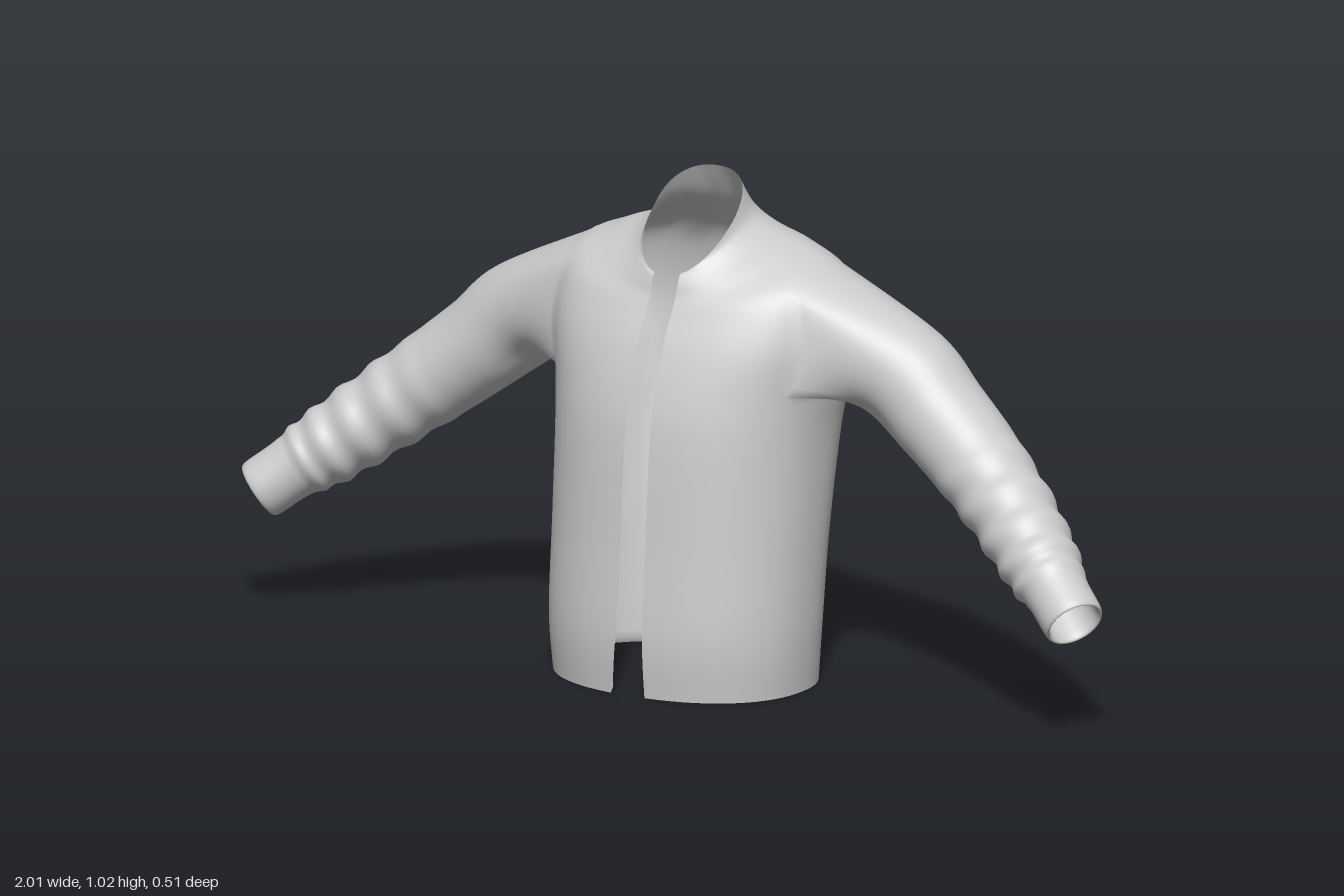
import * as THREE from 'three';

const U = 64, V = 60;            // body columns and rows
const HOLE = { v0: 25, v1: 37, half: 6 }; // armhole block in the body grid

// Body rings: [y front, y side, y back, half width, z front, z back, z middle]
const RINGS = [
  [0.00, 0.00, 0.00, 0.275, 0.245, -0.178, 0.03],
  [0.12, 0.12, 0.12, 0.283, 0.254, -0.185, 0.03],
  [0.30, 0.30, 0.30, 0.286, 0.242, -0.205, 0.01],
  [0.50, 0.50, 0.50, 0.293, 0.228, -0.240, -0.02],
  [0.60, 0.60, 0.60, 0.305, 0.212, -0.250, -0.04],
  [0.70, 0.73, 0.70, 0.328, 0.180, -0.250, -0.06],
  [0.77, 0.84, 0.79, 0.300, 0.145, -0.235, -0.06],
  [0.80, 0.885, 0.85, 0.210, 0.130, -0.215, -0.06],
  [0.82, 0.905, 0.90, 0.145, 0.125, -0.175, -0.04],
  [0.835, 0.925, 0.95, 0.108, 0.120, -0.132, -0.02],
  [0.84, 0.945, 1.02, 0.095, 0.115, -0.090, 0.00],
];

// Sleeve sections: [x, y, z, radius, turn towards the front]; the last two fold into the cuff
const SECTIONS = [
  [0.44, 0.662, -0.075, 0.108, 0.0],
  [0.54, 0.582, -0.068, 0.100, 0.1],
  [0.63, 0.512, -0.050, 0.095, 0.25],
  [0.72, 0.443, -0.020, 0.089, 0.4],
  [0.80, 0.380, 0.018, 0.083, 0.45],
  [0.86, 0.333, 0.050, 0.076, 0.45],
  [0.905, 0.300, 0.074, 0.064, 0.45],
  [0.957, 0.258, 0.100, 0.062, 0.4],
  [0.955, 0.260, 0.099, 0.052, 0.4],
  [0.90, 0.304, 0.071, 0.052, 0.45],
];

// Catmull-Rom through rows of numbers
function sample(rows, t) {
  const last = rows.length - 1, i = Math.min(Math.floor(t), last - 1), f = t - i;
  const [a, b, c, d] = [i - 1, i, i + 1, i + 2].map(k => rows[Math.max(0, Math.min(last, k))]);
  return b.map((_, k) => 0.5 * (2 * b[k] + (c[k] - a[k]) * f
    + (2 * a[k] - 5 * b[k] + 4 * c[k] - d[k]) * f * f
    + (3 * b[k] - a[k] - 3 * c[k] + d[k]) * f * f * f));
}

const power = (x, e) => Math.sign(x) * Math.abs(x) ** e;

// Point of the body: t runs up the rings, u from the left front edge round the back
function bodyPoint(t, u, inset = 0) {
  const [yF, yS, yB, w, zF, zB, zM] = sample(RINGS, t);
  const e = 0.9;
  const gapRight = 0.022 + 0.022 * Math.max(0, 1 - yS / 0.2);
  const start = Math.asin((0.036 / w) ** (1 / e));
  const end = 2 * Math.PI - Math.asin((gapRight / w) ** (1 / e));
  const a = start + (end - start) * u;
  const s = power(Math.sin(a), e), c = power(Math.cos(a), e);
  const y = yS + (yF - yB) / 2 * c + ((yF + yB) / 2 - yS) * c * c;
  // soft vertical folds down the back
  const fold = c < 0 ? 0.005 * Math.sin(a * 14) * c * c * Math.sin(Math.PI * t / 10) : 0;
  const z = zM + c * (c > 0 ? zF - zM : zM - zB) + fold;
  return [s * (w - inset), y, z - c * inset];
}

function makeGeometry(positions, index) {
  const g = new THREE.BufferGeometry();
  g.setAttribute('position', new THREE.Float32BufferAttribute(positions, 3));
  g.setIndex(index);
  g.computeVertexNormals();
  return g;
}

function jacketGeometry() {
  const pos = [], index = [];
  const id = (v, u) => v * (U + 1) + u;
  const quad = (a, b, c, d) => index.push(a, b, d, b, c, d);

  // Body grid, leaving the two armholes open
  for (let v = 0; v <= V; v++)
    for (let u = 0; u <= U; u++) pos.push(...bodyPoint(v / V * (RINGS.length - 1), u / U));
  const inHole = (v, u) => v >= HOLE.v0 && v < HOLE.v1 &&
    [U / 4, 3 * U / 4].some(m => u >= m - HOLE.half && u < m + HOLE.half);
  for (let v = 0; v < V; v++)
    for (let u = 0; u < U; u++)
      if (!inHole(v, u)) quad(id(v, u), id(v, u + 1), id(v + 1, u + 1), id(v + 1, u));

  // Sleeves grow from the armhole edges
  for (const side of [1, -1]) {
    const mid = side > 0 ? U / 4 : 3 * U / 4;
    const u0 = mid - HOLE.half, u1 = mid + HOLE.half;
    let ring = [];
    for (let u = u0; u < u1; u++) ring.push(id(HOLE.v0, u));
    for (let v = HOLE.v0; v < HOLE.v1; v++) ring.push(id(v, u1));
    for (let u = u1; u > u0; u--) ring.push(id(HOLE.v1, u));
    for (let v = HOLE.v1; v > HOLE.v0; v--) ring.push(id(v, u0));
    const n = ring.length;

    // Each strand runs from an armhole corner through all sections
    const strands = ring.map((p, i) => {
      const phi = -0.75 * Math.PI + 2 * Math.PI * i / n;
      const up = Math.sin(phi), across = -side * Math.cos(phi);
      return [pos.slice(p * 3, p * 3 + 3), ...SECTIONS.map(([x, y, z, r, turn]) => [
        side * (x + r * (0.62 * up - 0.78 * Math.sin(turn) * across)),
        y + r * (0.78 * up + 0.62 * Math.sin(turn) * across),
        z + r * Math.cos(turn) * across,
      ])];
    });
    const steps = SECTIONS.length * 8;
    for (let k = 1; k <= steps; k++) {
      const t = k / 8, next = [];
      const c = sample([SECTIONS[0], ...SECTIONS], t);
      // wrinkles on the forearm
      const amount = 0.05 * THREE.MathUtils.smoothstep(t, 2.5, 4.5)
        * (1 - THREE.MathUtils.smoothstep(t, 6.2, 7));
      strands.forEach((strand, i) => {
        const p = sample(strand, t), phi = 2 * Math.PI * i / n;
        const m = 1 + amount * Math.sin(t * 8 + 1.6 * Math.sin(phi + side) + Math.sin(2 * phi));
        const centre = [side * c[0], c[1], c[2]];
        next.push(pos.length / 3);
        pos.push(...p.map((q, j) => centre[j] + (q - centre[j]) * m));
      });
      for (let i = 0; i < n; i++) {
        const j = (i + 1) % n;
        quad(ring[i], ring[j], next[j], next[i]);
      }
      ring = next;
    }
  }
  return makeGeometry(pos, index);
}

// Band turned up inside the hem
function hemGeometry() {
  const pos = [], index = [], rows = 8;
  for (let v = 0; v <= rows; v++)
    for (let u = 0; u <= U; u++) pos.push(...bodyPoint(v / rows * 1.2, u / U, v === 0 ? 0 : 0.006));
  for (let v = 0; v < rows; v++)
    for (let u = 0; u < U; u++) {
      const a = v * (U + 1) + u, d = a + U + 1;
      index.push(a, d, a + 1, a + 1, d, d + 1);
    }
  return makeGeometry(pos, index);
}

export function createModel() {
  const group = new THREE.Group();
  group.name = 'jacket';
  const material = new THREE.MeshStandardMaterial({ color: 0xcccccc, side: THREE.DoubleSide });
  const add = (name, geometry) => {
    const mesh = new THREE.Mesh(geometry, material);
    mesh.name = name;
    group.add(mesh);
  };
  add('bodyAndSleeves', jacketGeometry());
  add('hemFacing', hemGeometry());
  return group;
}
